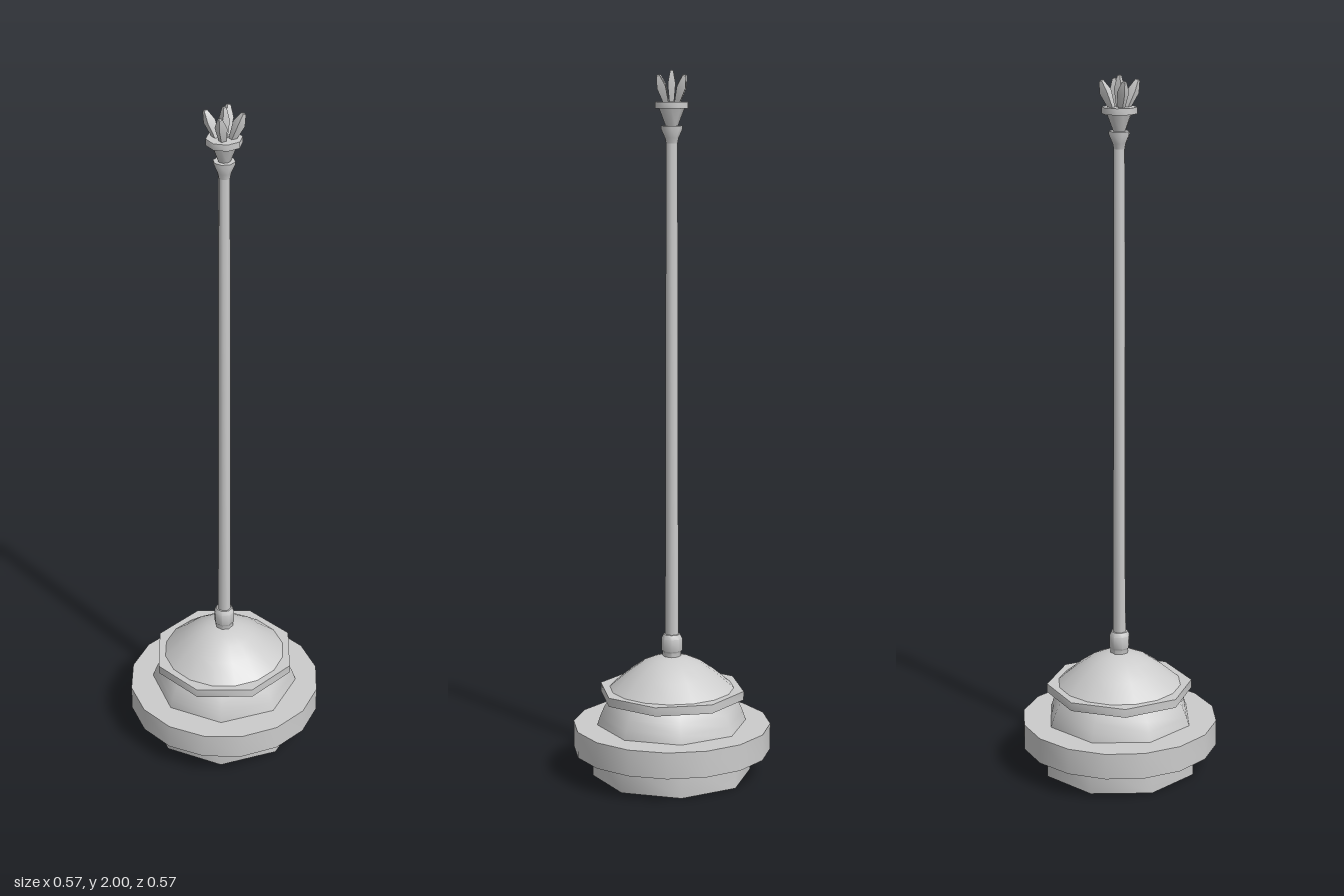
import * as THREE from 'three';
import { toCreasedNormals } from 'three/addons/utils/BufferGeometryUtils.js';

const material = new THREE.MeshStandardMaterial({ color: 0xcccccc, side: THREE.DoubleSide });
const deg = THREE.MathUtils.degToRad;

// Turned part from [radius, height] points, with sharp profile edges
function turned(name, points, sides, turn = 0, crease = 50) {
  const profile = points.map(([r, y]) => new THREE.Vector2(r, y));
  const geometry = toCreasedNormals(new THREE.LatheGeometry(profile, sides), deg(crease));
  const mesh = new THREE.Mesh(geometry, material);
  mesh.name = name;
  mesh.rotation.y = deg(turn);
  return mesh;
}

// Faceted bud, narrow at the foot and pointed at the tip
function petal(name, length, width) {
  return turned(name, [[0, 0], [width * 0.5, 0], [width, length * 0.62],
    [width * 0.4, length * 0.97], [0, length]], 4, 0, 30);
}

export function createModel() {
  const model = new THREE.Group();
  model.name = 'standingPole';

  // Hollow foot, wide ring and tapering body
  model.add(turned('foot', [[0.228, 0], [0.228, 0.08]], 8, 9.5));
  model.add(turned('baseRing', [[0, 0.075], [0.283, 0.075], [0.283, 0.15], [0, 0.15]], 16));
  model.add(turned('body', [[0.215, 0.15], [0.207, 0.175], [0.195, 0.203], [0.178, 0.23]], 8, 9.5));

  // Flange and domed lid
  model.add(turned('flange', [[0, 0.23], [0.21, 0.23], [0.21, 0.255], [0, 0.255]], 8, 35));
  model.add(turned('lid', [[0.178, 0.255], [0.125, 0.3], [0.085, 0.328],
    [0.055, 0.341], [0.028, 0.348], [0, 0.35]], 16));

  // Collar and long shaft
  model.add(turned('collar', [[0.026, 0.34], [0.026, 0.36], [0.03, 0.365], [0.03, 0.4],
    [0.024, 0.412], [0, 0.412]], 8));
  model.add(turned('shaft', [[0.019, 0.4], [0.016, 1.81]], 8));

  // Flared socket and cup below the crown
  model.add(turned('socket', [[0.016, 1.8], [0.019, 1.815], [0.03, 1.84], [0.03, 1.848], [0, 1.848]], 8));
  model.add(turned('cup', [[0.016, 1.845], [0.036, 1.897]], 8));
  model.add(turned('crownRing', [[0, 1.895], [0.049, 1.895], [0.049, 1.913], [0, 1.913]], 8, 22.5));

  // Crown: four leaning petals round an upright one
  const crown = new THREE.Group();
  crown.name = 'crown';
  const centre = petal('centrePetal', 0.1, 0.015);
  centre.position.y = 1.9;
  crown.add(centre);
  for (let i = 0; i < 4; i++) {
    const arm = new THREE.Group();
    arm.name = 'petalArm';
    arm.rotation.y = i * Math.PI / 2;
    const leaf = petal('petal', 0.09, 0.017);
    leaf.position.set(0.018, 1.903, 0);
    leaf.rotation.set(0, 0, deg(-22));
    arm.add(leaf);
    crown.add(arm);
  }
  model.add(crown);
  return model;
}
